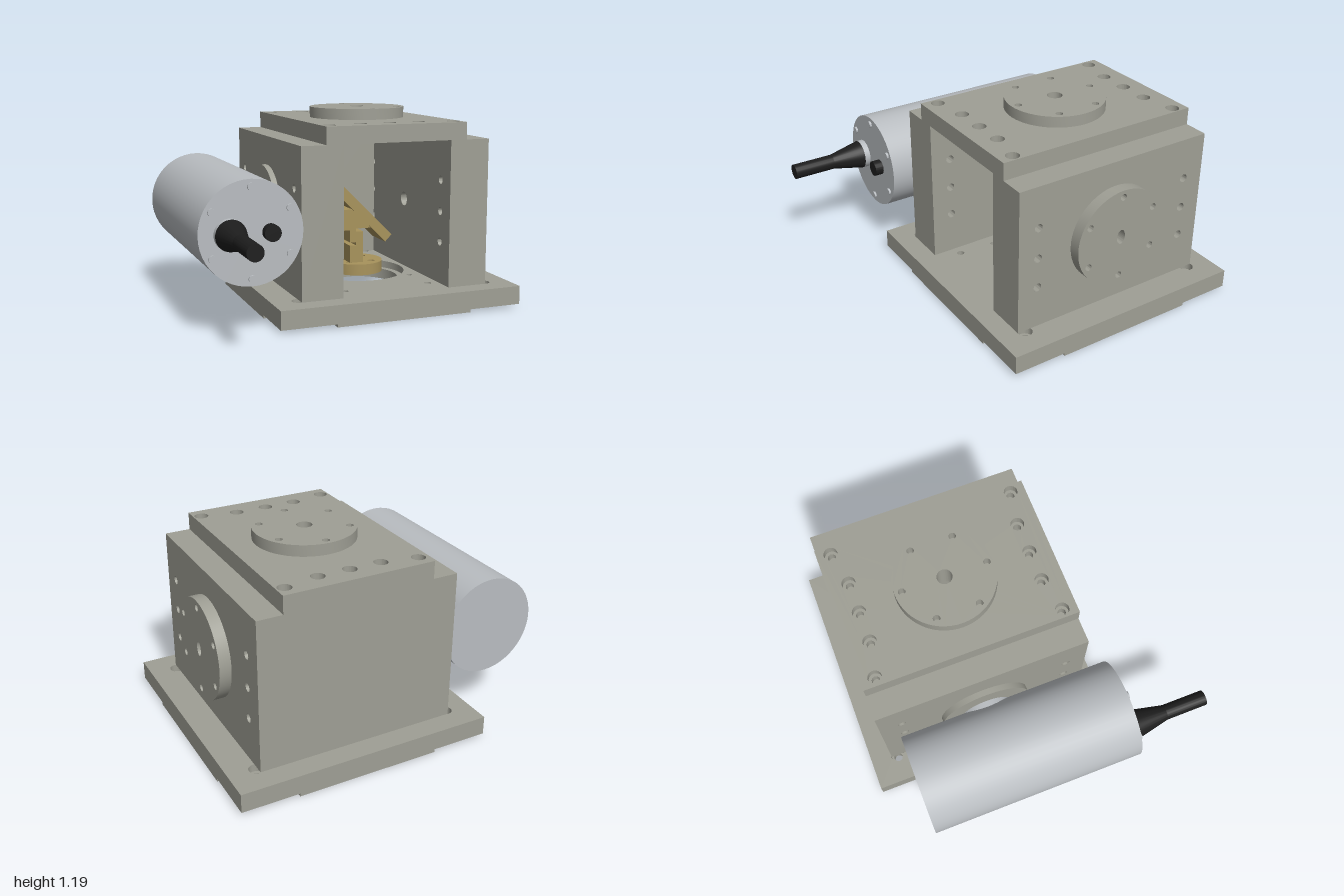
import * as THREE from 'three';
import { toCreasedNormals } from 'three/addons/utils/BufferGeometryUtils.js';

const CX = 0.225, CZ = -0.238, AXIS_Y = 0.578;

function material(name, color) {
  const m = new THREE.MeshStandardMaterial({ color });
  m.name = name;
  return m;
}

export function createModel() {
  const grey = material('warm grey metal', 0x9f9f95);
  const silver = material('silver metal', 0xb9bdc1);
  const brass = material('brass', 0xa8935c);
  const black = material('black rubber', 0x1d1d1d);
  const model = new THREE.Group();

  const add = (name, geometry, mat, parent = model) => {
    const mesh = new THREE.Mesh(toCreasedNormals(geometry, 0.6), mat);
    mesh.name = name;
    parent.add(mesh);
    return mesh;
  };
  const group = (name) => {
    const g = new THREE.Group();
    g.name = name;
    model.add(g);
    return g;
  };

  // Outlines and holes; a hole is [u, v, radius, optional second radius]
  const polygon = (pts) => new THREE.Shape(pts.map(([u, v]) => new THREE.Vector2(u, v)));
  const rect = (u0, v0, u1, v1) => polygon([[u0, v0], [u1, v0], [u1, v1], [u0, v1]]);
  const disc = (u, v, r) => new THREE.Shape().absarc(u, v, r, 0, Math.PI * 2, false);
  const extrude = (shape, holes, depth) => {
    for (const [u, v, r, r2 = r] of holes) {
      shape.holes.push(new THREE.Path().absellipse(u, v, r, r2, 0, Math.PI * 2, true));
    }
    return new THREE.ExtrudeGeometry(shape, { depth, bevelEnabled: false, curveSegments: 28 });
  };
  // Horizontal plate: u = x, v = -z, from y0 to y1
  const flat = (shape, holes, y0, y1) =>
    extrude(shape, holes, y1 - y0).rotateX(-Math.PI / 2).translate(0, y0, 0);
  // Upright plate: u = -z, v = y, from x0 to x1
  const upright = (shape, holes, x0, x1) =>
    extrude(shape, holes, x1 - x0).rotateY(Math.PI / 2).translate(x0, 0, 0);
  // Four mirrored holes about a centre
  const four = (u, v, du, dv, r) =>
    [[1, 1], [-1, 1], [-1, -1], [1, -1]].map(([a, b]) => [u + a * du, v + b * dv, r]);
  // Six holes around a circle
  const boltCircle = (u, v, radius, r) => Array.from({ length: 6 }, (_, i) => {
    const a = Math.PI / 2 + i * Math.PI / 3;
    return [u + radius * Math.cos(a), v + radius * Math.sin(a), r];
  });
  const V = -CZ;

  // Base plate: stepped bore, corner bolts and relieved underside corners
  const base = group('basePlate');
  const footPoints = [];
  const quarter = [[0.762, 0.437], [0.485, 0.437], [0.425, 0.497], [0.425, 0.762]];
  [[1, 1], [-1, 1], [-1, -1], [1, -1]].forEach(([a, b], i) => {
    const q = i % 2 ? [...quarter].reverse() : quarter;
    q.forEach(([u, v]) => footPoints.push([CX + a * u, V + b * v]));
  });
  const foot = polygon(footPoints);
  const square = rect(CX - 0.32, V - 0.32, CX + 0.32, V + 0.32);
  foot.holes.push(new THREE.Path(square.getPoints().reverse()));
  add('baseFoot', flat(foot, four(CX, V, 0.275, 0.49, 0.022), 0, 0.018), grey, base);
  const baseOutline = () => rect(CX - 0.762, V - 0.762, CX + 0.762, V + 0.762);
  const smallHoles = [...four(CX, V, 0.275, 0.49, 0.022), ...four(CX, V, 0.26, 0.26, 0.018)];
  add('baseLower', flat(baseOutline(),
    [[CX, V, 0.27], ...four(CX, V, 0.6, 0.595, 0.026), ...smallHoles], 0.018, 0.085), grey, base);
  add('baseUpper', flat(baseOutline(),
    [[CX, V, 0.31], ...four(CX, V, 0.6, 0.595, 0.042), ...smallHoles], 0.085, 0.13), grey, base);

  // Housing: two drilled side walls, back wall and a stepped lid
  const housing = group('housing');
  const sideHoles = [0.77, AXIS_Y, 0.39].flatMap((y) => [[-0.275, y, 0.025], [0.74, y, 0.025]]);
  const wall = () => rect(-0.4, 0.13, 0.872, 1.022);
  add('rightWall', upright(wall(), [...sideHoles, [V, AXIS_Y, 0.06]], -0.37, -0.115), grey, housing);
  add('leftWall', upright(wall(), [...sideHoles, [V, AXIS_Y, 0.045]], 0.565, 0.817), grey, housing);
  add('backWall', new THREE.BoxGeometry(0.68, 0.892, 0.14).translate(CX, 0.576, -0.802), grey, housing);
  const lidHoles = (r) => [
    ...four(CX, V, 0.395, 0.552, r), ...four(CX, V, 0.187, 0.512, r),
    [CX, V + 0.512, r], [CX, V - 0.512, r], [CX, V, 0.045],
  ];
  const lid = () => rect(-0.22, -0.4, 0.668, 0.872);
  add('lidLower', flat(lid(), lidHoles(0.023), 1.022, 1.075), grey, housing);
  add('lidUpper', flat(lid(), lidHoles(0.04), 1.075, 1.126), grey, housing);

  // Round port flanges
  add('topFlange', flat(disc(CX, V, 0.296),
    [[CX, V, 0.045], ...boltCircle(CX, V, 0.253, 0.021)], 1.126, 1.192), grey);
  add('leftFlange', upright(disc(V, AXIS_Y, 0.296),
    [[V, AXIS_Y, 0.028, 0.045], ...boltCircle(V, AXIS_Y, 0.253, 0.021)], 0.817, 0.886), grey);
  add('rightFlange', upright(disc(V, AXIS_Y, 0.268), [[V, AXIS_Y, 0.06]], -0.405, -0.37), grey);

  // Detector tube lying along z, joined to the housing by a neck
  const tube = group('detectorTube');
  const alongZ = (r0, r1, z0, z1, x, y) =>
    new THREE.CylinderGeometry(r1, r0, z1 - z0, 48).rotateX(Math.PI / 2).translate(x, y, (z0 + z1) / 2);
  const TX = -0.694;
  add('tubeBody', alongZ(0.295, 0.295, -0.77, 0.515, TX, AXIS_Y), silver, tube);
  add('tubeNeck', new THREE.CylinderGeometry(0.15, 0.15, 0.2, 48)
    .rotateZ(Math.PI / 2).translate(-0.505, AXIS_Y, CZ), silver, tube);
  for (const [x, y, r] of boltCircle(TX, AXIS_Y, 0.253, 0.021)) {
    add('capScrew', alongZ(r, r, 0.51, 0.528, x, y), silver, tube);
  }

  // Cable with strain relief, and a small connector
  const cable = group('cable');
  add('cableCollar', alongZ(0.088, 0.088, 0.51, 0.55, -0.815, AXIS_Y), silver, cable);
  add('strainRelief', alongZ(0.088, 0.046, 0.55, 0.745, -0.815, AXIS_Y), black, cable);
  add('cableEnd', alongZ(0.046, 0.046, 0.74, 1, -0.815, AXIS_Y), black, cable);
  add('connector', alongZ(0.047, 0.047, 0.51, 0.566, -0.587, AXIS_Y), black, tube);

  // Brass mirror mount: drilled disc, notched post and tilted mirror bar
  const mount = group('mirrorMount');
  add('mountDisc', flat(disc(CX, V, 0.168), four(CX, V, 0.075, 0.075, 0.022), 0.13, 0.2), brass, mount);
  const post = polygon([
    [0.145, 0.2], [0.235, 0.2], [0.235, 0.4], [0.185, 0.4], [0.185, 0.42], [0.29, 0.42],
    [0.11, 0.6], [0.16, 0.546], [0.065, 0.546], [0.065, 0.412], [0.145, 0.412], [0.145, 0.332],
    [0.185, 0.332], [0.185, 0.312], [0.145, 0.312],
  ].filter((_, i) => i !== 6));
  add('mountPost', extrude(post, [], 0.19).translate(0, 0, CZ - 0.095), brass, mount);
  const bar = polygon([[-0.03, 0.737], [0.387, 0.322], [0.431, 0.366], [0.014, 0.781]]);
  add('mirrorBar', extrude(bar, [], 0.2).translate(0, 0, CZ - 0.1), brass, mount);

  return model;
}
